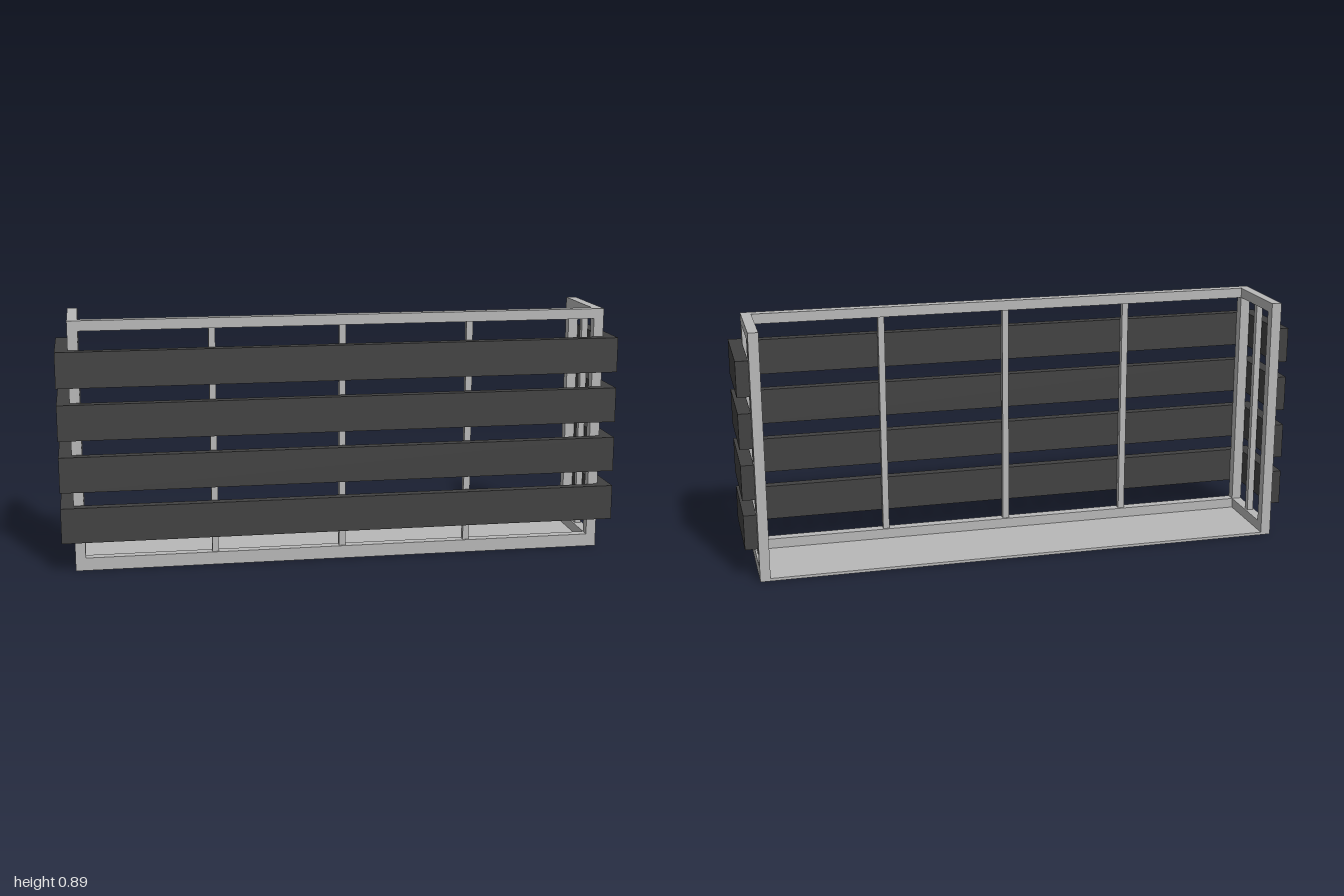
import * as THREE from 'three';

export function createModel() {
  const group = new THREE.Group();
  const metal = new THREE.MeshStandardMaterial({ color: 0xb8b8b8 });
  metal.name = 'light grey metal';
  const dark = new THREE.MeshStandardMaterial({ color: 0x404040 });
  dark.name = 'dark grey board';

  // Box given by its min and max corners
  const box = (name, mat, [x0, y0, z0], [x1, y1, z1]) => {
    const mesh = new THREE.Mesh(new THREE.BoxGeometry(x1 - x0, y1 - y0, z1 - z0), mat);
    mesh.position.set((x0 + x1) / 2, (y0 + y1) / 2, (z0 + z1) / 2);
    mesh.name = name;
    group.add(mesh);
  };

  const X = 0.955, TOP = 0.89, BACK = -0.18, FRONT = 0.144; // frame extents
  const T = 0.036, FLOOR = 0.01, BAR = 0.023;               // bar sizes
  const RAIL = FLOOR + T;                                   // top of the lower rails

  // Floor plate
  box('floor', metal, [-X, 0, BACK], [X, FLOOR, FRONT]);

  // Front rails
  const inner = X - T;
  box('frontLowerRail', metal, [-inner, FLOOR, FRONT - T], [inner, RAIL, FRONT]);
  box('frontUpperRail', metal, [-inner, TOP - T, FRONT - T], [inner, TOP, FRONT]);

  // Front balusters
  const zc = FRONT - T / 2;
  for (const x of [-0.46, 0, 0.46]) {
    box('frontBaluster', metal, [x - BAR / 2, RAIL, zc - BAR / 2], [x + BAR / 2, TOP - T, zc + BAR / 2]);
  }

  // Side frames: two posts, two rails and one baluster each
  for (const [side, s] of [['left', 1], ['right', -1]]) {
    const a = Math.min(s * X, s * inner), b = Math.max(s * X, s * inner), c = (a + b) / 2;
    box(side + 'FrontPost', metal, [a, FLOOR, FRONT - T], [b, TOP, FRONT]);
    box(side + 'BackPost', metal, [a, FLOOR, BACK], [b, TOP, BACK + T]);
    box(side + 'LowerRail', metal, [a, FLOOR, BACK + T], [b, RAIL, FRONT - T]);
    box(side + 'UpperRail', metal, [a, TOP - T, BACK + T], [b, TOP, FRONT - T]);
    box(side + 'Baluster', metal, [c - BAR / 2, RAIL, -0.018 - BAR / 2], [c + BAR / 2, TOP - T, -0.018 + BAR / 2]);
  }

  // Cladding boards wrapping the front and both sides
  for (const y of [0.112, 0.294, 0.478, 0.662]) {
    const y1 = y + 0.126;
    box('frontBoard', dark, [-1, y, FRONT], [1, y1, 0.18]);
    box('leftBoard', dark, [X, y, -0.15], [1, y1, FRONT]);
    box('rightBoard', dark, [-1, y, -0.15], [-X, y1, FRONT]);
  }
  return group;
}
